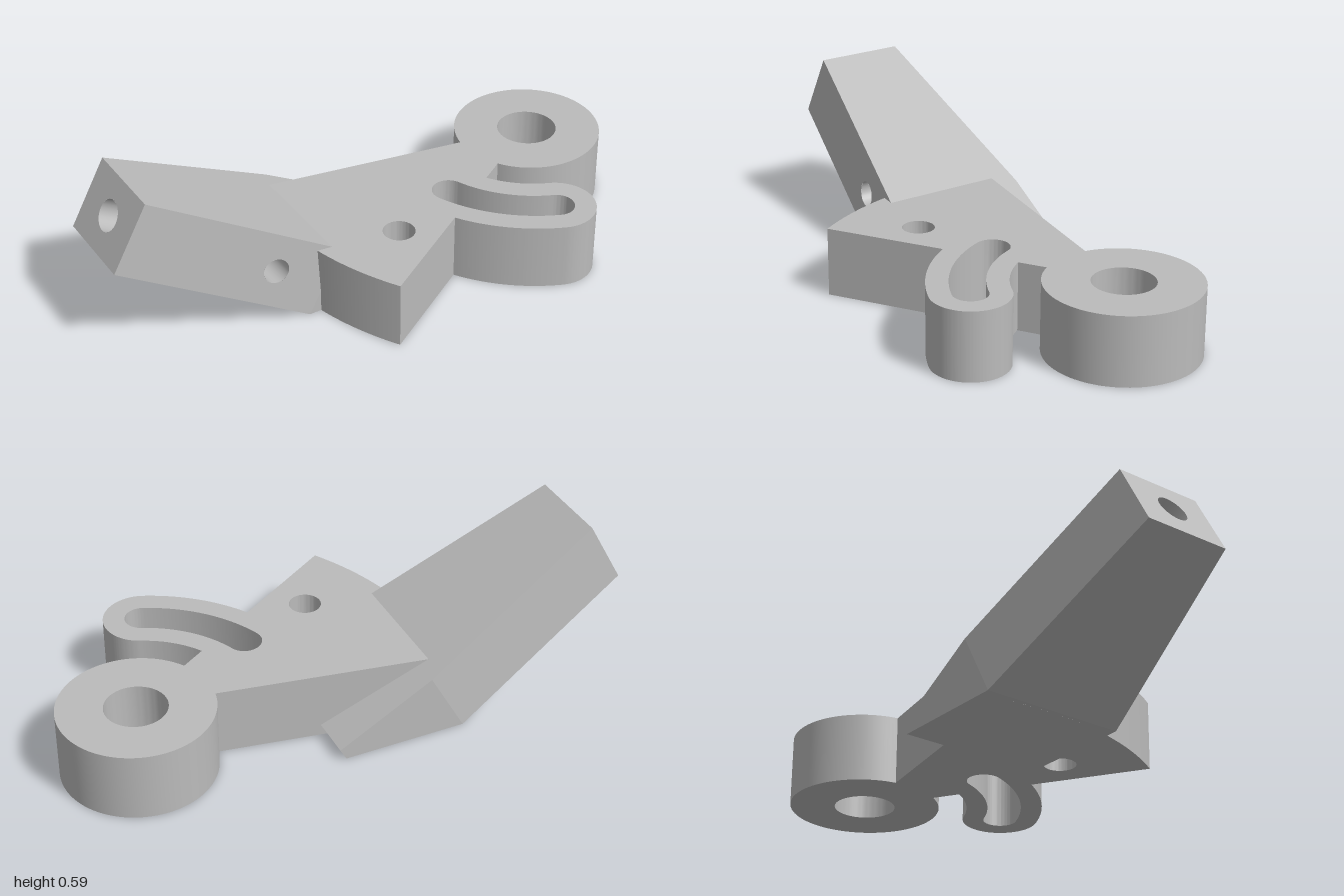
import * as THREE from 'three';
import { toCreasedNormals } from 'three/addons/utils/BufferGeometryUtils.js';

const HEIGHT = 0.245;      // plate thickness
const PIVOT = [0.73, 0.17]; // ring centre in plan (x, -z)

// Plan outline: plate, slotted arm and pivot ring share arcs around the pivot
function plateGeometry() {
  const [cx, cy] = PIVOT, PI = Math.PI;
  const edge = PI + 0.558, slotStart = PI + 0.382, slotEnd = PI + 1.17, slotR = 0.5;
  const at = (a) => [cx + slotR * Math.cos(a), cy + slotR * Math.sin(a)];
  const shape = new THREE.Shape();
  shape.moveTo(0.47, 0.215);
  shape.absarc(cx, cy, 1.065, PI - 0.174, edge, false);
  shape.absarc(cx, cy, slotR + 0.135, edge, slotEnd, false);
  shape.absarc(...at(slotEnd), 0.135, slotEnd, slotEnd + PI, false);
  shape.absarc(cx, cy, slotR - 0.135, slotEnd, edge, true);
  shape.absarc(cx, cy, 0.265, edge, 3 * PI - 0.171, false);

  const pivotHole = new THREE.Path().absarc(cx, cy, 0.107, 0, 2 * PI, true);
  const boltHole = new THREE.Path().absarc(-0.012, -0.13, 0.056, 0, 2 * PI, true);
  const slot = new THREE.Path();
  slot.absarc(cx, cy, slotR + 0.06, slotStart, slotEnd, false);
  slot.absarc(...at(slotEnd), 0.06, slotEnd, slotEnd + PI, false);
  slot.absarc(cx, cy, slotR - 0.06, slotEnd, slotStart, true);
  slot.absarc(...at(slotStart), 0.06, slotStart + PI, slotStart + 2 * PI, false);
  shape.holes.push(pivotHole, boltHole, slot);

  const geo = new THREE.ExtrudeGeometry(shape, { depth: HEIGHT, bevelEnabled: false, curveSegments: 40 });
  geo.rotateX(-Math.PI / 2);
  return toCreasedNormals(geo, 0.5);
}

// Slanted bar in its own frame: x along the bar, y through its thickness, z across
function buildBar(material) {
  const bar = new THREE.Group();
  bar.name = 'slantedBar';
  const T = 0.13, BEND = 0.745, TIP = 1.13, TIP_LOW = 0.083, W0 = 0.157, W1 = 0.262, BORE = 0.55;
  const half = (u) => W0 + (W1 - W0) * Math.min(u / BEND, 1);

  // Flat face drawn in 2D, with an optional round hole, then mapped into place
  const face = (name, points, map, hole) => {
    const shape = new THREE.Shape(points.map(([a, b]) => new THREE.Vector2(a, b)));
    if (hole) shape.holes.push(new THREE.Path().absarc(hole[0], hole[1], hole[2], 0, Math.PI * 2, true));
    const geo = new THREE.ShapeGeometry(shape, 24);
    const p = geo.attributes.position;
    for (let i = 0; i < p.count; i++) p.setXYZ(i, ...map(p.getX(i), p.getY(i)));
    geo.computeVertexNormals();
    add(name, geo);
  };
  const add = (name, geo) => {
    const mesh = new THREE.Mesh(geo, material);
    mesh.name = name;
    bar.add(mesh);
  };
  const rect = (a0, b0, a1, b1) => [[a0, b0], [a1, b0], [a1, b1], [a0, b1]];

  // Tapered and straight stretches of both sides; the cable hole is on the front only
  for (const s of [1, -1]) {
    const map = (u, v) => [u, v, s * half(u)];
    face('barSide', rect(0, -T, BEND, T), map, s > 0 ? [BORE, 0, 0.045] : null);
    face('barTailSide', [[BEND, -T], [TIP, TIP_LOW], [TIP, T], [BEND, T]], map);
  }
  const taper = [[0, W0], [BEND, W1], [BEND, -W1], [0, -W0]];
  face('barTop', [[0, W0], [BEND, W1], [TIP, W1], [TIP, -W1], [BEND, -W1], [0, -W0]], (u, w) => [u, T, w]);
  face('barUnderside', taper.slice().reverse(), (u, w) => [u, -T, w]);
  face('barFoot', rect(BEND, W1, TIP, -W1),
    (u, w) => [u, -T + (TIP_LOW + T) * (u - BEND) / (TIP - BEND), w]);
  face('barTip', rect(-W1, TIP_LOW, W1, T), (w, v) => [TIP, v, -w]);
  face('barEnd', rect(-W0, -T, W0, T), (w, v) => [0, v, w], [0, 0, 0.055]);

  // Side bore meets the lengthwise bore
  const sideBore = new THREE.CylinderGeometry(0.045, 0.045, 1, 24, 1, true);
  sideBore.rotateX(Math.PI / 2);
  const p = sideBore.attributes.position;
  for (let i = 0; i < p.count; i++) {
    const u = p.getX(i) + BORE;
    p.setXYZ(i, u, p.getY(i), p.getZ(i) > 0 ? half(u) : 0.03);
  }
  add('sideBore', sideBore);
  const length = BORE + 0.05;
  const endBore = new THREE.CylinderGeometry(0.055, 0.055, length, 24, 1, true);
  endBore.rotateZ(Math.PI / 2).translate(length / 2, 0, 0);
  add('endBore', endBore);
  add('boreFloor', new THREE.CircleGeometry(0.055, 24).rotateY(-Math.PI / 2).translate(length, 0, 0));

  bar.position.set(-0.935, 0.475, -0.168);
  bar.rotation.z = -THREE.MathUtils.degToRad(29);
  return bar;
}

export function createModel() {
  const model = new THREE.Group();
  model.name = 'pivotBracket';
  const grey = new THREE.MeshStandardMaterial({ color: 0xbbbbbb, side: THREE.DoubleSide });
  grey.name = 'grey';
  const plate = new THREE.Mesh(plateGeometry(), grey);
  plate.name = 'slottedPlate';
  model.add(plate, buildBar(grey));
  return model;
}
